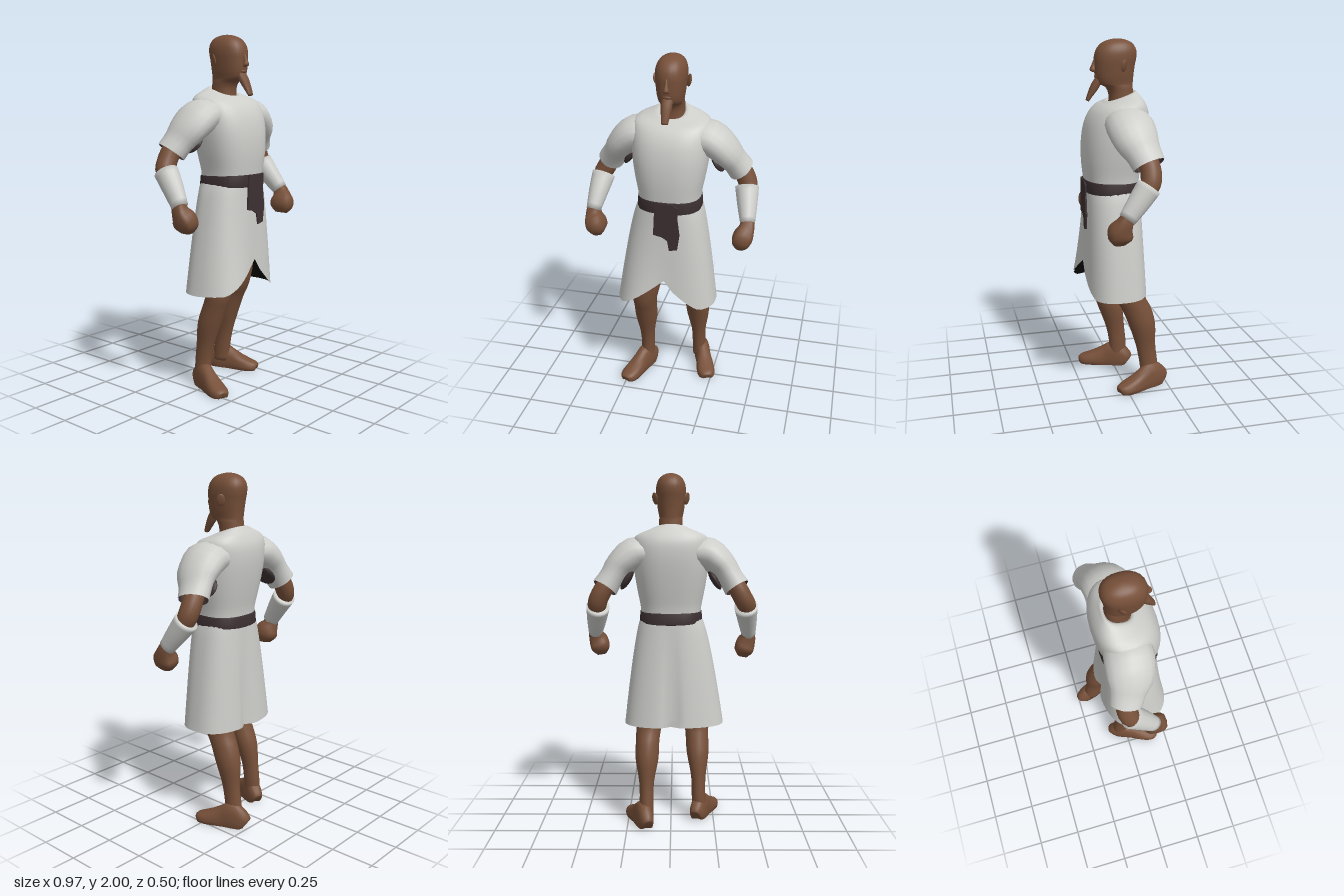
import * as THREE from 'three';

const mat = (name, color) => Object.assign(new THREE.MeshStandardMaterial({ color }), { name });
const V = (x, y, z) => new THREE.Vector3(x, y, z);
const spow = (v, p) => Math.sign(v) * Math.abs(v) ** (2 / p);

// Catmull-Rom smoothing of a table of cross-section rows
function smooth(rows, k = 3) {
  const out = [], at = i => rows[Math.min(Math.max(i, 0), rows.length - 1)];
  for (let i = 0; i < rows.length - 1; i++) for (let s = 0; s < k; s++) {
    const t = s / k, [a, b, c, d] = [at(i - 1), at(i), at(i + 1), at(i + 2)];
    out.push(b.map((q, j) => q + 0.5 * t * (c[j] - a[j] + t * (2 * a[j] - 5 * q + 4 * c[j] - d[j]
      + t * (3 * (q - c[j]) + d[j] - a[j])))));
  }
  out.push(rows[rows.length - 1]);
  return out;
}

// Skin a list of closed rings, optionally capped or turned inside out
function loft(rings, { cap = true, flip = false } = {}) {
  const n = rings[0].length, pos = [], idx = [];
  const tri = (a, b, c) => (flip ? idx.push(a, c, b) : idx.push(a, b, c));
  rings.forEach(r => r.forEach(p => pos.push(p.x, p.y, p.z)));
  for (let i = 0; i < rings.length - 1; i++) for (let j = 0; j < n; j++) {
    const a = i * n + j, b = i * n + (j + 1) % n;
    tri(a, b, b + n);
    tri(a, b + n, a + n);
  }
  if (cap) [0, rings.length - 1].forEach((i, end) => {
    const mid = rings[i].reduce((s, p) => s.add(p), V(0, 0, 0)).divideScalar(n);
    const m = pos.length / 3;
    pos.push(mid.x, mid.y, mid.z);
    for (let j = 0; j < n; j++) {
      const a = i * n + j, b = i * n + (j + 1) % n;
      end ? tri(a, b, m) : tri(b, a, m);
    }
  });
  const g = new THREE.BufferGeometry();
  g.setAttribute('position', new THREE.Float32BufferAttribute(pos, 3));
  g.setIndex(idx);
  g.computeVertexNormals();
  return g;
}

const around = (n, f) => Array.from({ length: n }, (_, j) => f(Math.cos(j / n * 2 * Math.PI), Math.sin(j / n * 2 * Math.PI)));

// Level sections: [y, x, z, rx, rz]
const stack = (rows, n = 18, p = 2) => loft(smooth(rows).map(([y, x, z, rx, rz]) =>
  around(n, (c, s) => V(x + rx * spow(c, p), y, z - rz * spow(s, p)))));

// Level sections with separate front and back depth: [y, rx, zFront, zBack, tilt]
const bodyRings = (rows, k) => smooth(rows, k).map(([y, rx, zf, zb, tilt]) => around(32, (c, s) => {
  const z = (zf + zb) / 2 - (zf - zb) / 2 * spow(s, 2.5);
  return V(rx * spow(c, 2.5), y - tilt * z, z);
}));

// Sections square to a path: [x, y, z, ru, rv]; ref steers the v axis
function tubeRings(rows, ref = V(0, 0, 1), p = 2, n = 16) {
  const pts = smooth(rows), c = pts.map(r => V(r[0], r[1], r[2]));
  return pts.map((r, i) => {
    const t = c[Math.min(i + 1, c.length - 1)].clone().sub(c[Math.max(i - 1, 0)]).normalize();
    const v = ref.clone().addScaledVector(t, -ref.dot(t)).normalize();
    const u = t.clone().cross(v);
    return around(n, (a, b) => c[i].clone().addScaledVector(u, r[3] * spow(a, p)).addScaledVector(v, -r[4] * spow(b, p)));
  });
}

export function createModel() {
  const skin = mat('brown skin', 0x775039), cloth = mat('pale cloth', 0xcdcdca);
  const sash = mat('dark sash', 0x3c3032), dark = mat('black lining', 0x060606);
  const model = new THREE.Group();
  model.name = 'robedMan';
  const add = (name, geo, m) => {
    const mesh = new THREE.Mesh(geo, m);
    mesh.name = name;
    model.add(mesh);
    return mesh;
  };
  const blob = (name, m, p, s) => {
    const b = add(name, new THREE.SphereGeometry(1, 14, 10), m);
    b.position.set(...p);
    b.scale.set(...s);
    return b;
  };

  // Head and neck
  add('head', stack([
    [1.62, 0, -0.01, 0.07, 0.072], [1.70, 0, -0.01, 0.066, 0.068], [1.742, 0, 0.002, 0.066, 0.077],
    [1.76, 0, 0.022, 0.066, 0.098], [1.80, 0, 0.028, 0.074, 0.107], [1.86, 0, 0.026, 0.081, 0.113],
    [1.90, 0, 0.022, 0.084, 0.117], [1.94, 0, 0.017, 0.08, 0.111], [1.975, 0, 0.013, 0.062, 0.086],
    [1.994, 0, 0.01, 0.032, 0.045], [2.0, 0, 0.01, 0.004, 0.005]], 24, 2.25), skin);
  add('nose', stack([[1.822, 0, 0.14, 0.01, 0.008], [1.834, 0, 0.148, 0.018, 0.016],
    [1.86, 0, 0.143, 0.01, 0.012], [1.895, 0, 0.132, 0.007, 0.008]], 10), skin);
  blob('lips', skin, [0, 1.798, 0.13], [0.024, 0.009, 0.009]);
  add('beard', loft(tubeRings([[0, 1.785, 0.112, 0.032, 0.02], [0, 1.745, 0.137, 0.029, 0.022],
    [0, 1.70, 0.163, 0.023, 0.015], [0, 1.668, 0.18, 0.018, 0.009]], V(0, 0, 1), 2.6, 10)), skin);
  for (const s of [1, -1]) {
    const ear = blob('ear', skin, [s * 0.088, 1.86, -0.008], [0.008, 0.034, 0.024]);
    ear.rotation.y = s * 0.7;
    ear.rotation.z = -s * 0.2;
  }

  // Shirt body, its collar turned in against the neck
  add('shirt', loft(bodyRings([
    [1.17, 0.17, 0.195, -0.1, 0], [1.25, 0.175, 0.204, -0.105, 0], [1.35, 0.194, 0.212, -0.125, 0],
    [1.45, 0.209, 0.209, -0.143, 0], [1.54, 0.215, 0.191, -0.153, 0], [1.61, 0.214, 0.158, -0.15, 0.03],
    [1.652, 0.198, 0.12, -0.13, 0.1], [1.678, 0.125, 0.09, -0.103, 0.25], [1.69, 0.076, 0.07, -0.087, 0.35],
    [1.668, 0.058, 0.05, -0.07, 0.35]]), { cap: false }), cloth);

  // Skirt with a front opening, wider and fuller on the right, and a fold at the back
  const skirtRings = inset => Array.from({ length: 15 }, (_, i) => around(56, (c, s) => {
    const t = i / 14, f = -s, w = t ** 0.7;
    const x = (0.17 - inset + (0.118 - 0.018 * c) * w) * spow(c, 2.5);
    const depth = f > 0 ? 0.16 + 0.015 * t + 0.11 * t * t * Math.max(0, -c) * Math.sqrt(f) : 0.145 + 0.035 * t;
    const z = 0.04 + (depth - inset) * spow(f, 2.5) + (f < 0 ? 0.036 * t * Math.exp(-((x / 0.035) ** 2)) : 0);
    const rise = f > 0 ? Math.max(0, 1 - Math.abs(x) / (x < 0 ? 0.25 : 0.2)) ** 1.2 : 0;
    return V(x, 1.2 + (0.57 + 0.165 * rise + (f > 0 && x < 0 ? 0.02 * f : 0) - 1.2) * t, z);
  })).reverse();
  add('skirt', loft(skirtRings(0), { cap: false }), cloth);
  add('skirtLining', loft(skirtRings(0.006), { cap: false, flip: true }), dark);

  // Belt and hanging sash
  add('belt', loft(bodyRings([[1.158, 0.174, 0.198, -0.106, -0.02], [1.164, 0.181, 0.207, -0.113, -0.02],
    [1.222, 0.177, 0.208, -0.109, -0.04], [1.228, 0.17, 0.2, -0.102, -0.04]], 1), { cap: false }), sash);
  const flap = new THREE.Shape([[-0.05, 1.235], [-0.06, 1.04], [-0.01, 1.03], [0.02, 1.01], [0.03, 0.95],
    [0.075, 0.96], [0.088, 1.05], [0.075, 1.15], [0.08, 1.21], [0.05, 1.225]].map(p => new THREE.Vector2(...p)));
  add('hangingSash', new THREE.ExtrudeGeometry(flap, { depth: 0.009, bevelEnabled: false }), sash)
    .position.z = 0.204;

  // Arms: sleeve, skin, bracer and fist, mirrored with a slight pose change
  for (const s of [1, -1]) {
    const side = s > 0 ? 'left' : 'right', drop = s > 0 ? 0 : 0.012;
    const pose = rows => rows.map(([x, y, z, a, b]) =>
      [s * (x + (y < 1.3 ? drop : 0)), y - (y < 1.12 ? drop : 0), z - (y < 1.08 ? drop : 0), a, b]);
    const sleeve = [[0.12, 1.56, -0.005, 0.08, 0.12], [0.21, 1.553, -0.006, 0.094, 0.132],
      [0.288, 1.49, -0.022, 0.082, 0.125], [0.334, 1.425, -0.048, 0.07, 0.1], [0.373, 1.365, -0.07, 0.075, 0.09]];
    add(side + 'Sleeve', loft(tubeRings(pose(sleeve)), { cap: false }), cloth);
    add(side + 'SleeveLining', loft(tubeRings(pose(sleeve.slice(2).map(r =>
      [r[0], r[1], r[2], r[3] - 0.005, r[4] - 0.005]))), { cap: false, flip: true }), sash);
    blob(side + 'Armpit', sash, [s * 0.247, 1.412, -0.04], [0.022, 0.066, 0.078]).rotation.z = s * 0.55;
    add(side + 'Arm', loft(tubeRings(pose([[0.29, 1.48, -0.04, 0.05, 0.06], [0.365, 1.38, -0.068, 0.053, 0.056],
      [0.405, 1.31, -0.072, 0.054, 0.056], [0.42, 1.25, -0.05, 0.052, 0.052], [0.438, 1.1, 0.065, 0.034, 0.034]]))), skin);
    add(side + 'Bracer', loft(tubeRings(pose([[0.412, 1.262, -0.058, 0.067, 0.068], [0.426, 1.18, 0.004, 0.056, 0.06],
      [0.44, 1.1, 0.067, 0.041, 0.048]]))), cloth);
    add(side + 'Fist', loft(tubeRings(pose([[0.442, 1.115, 0.06, 0.034, 0.034], [0.438, 1.075, 0.08, 0.044, 0.045],
      [0.424, 1.035, 0.095, 0.056, 0.066], [0.414, 0.995, 0.1, 0.052, 0.062], [0.408, 0.962, 0.1, 0.026, 0.034]]),
    V(0, 0, 1), 3, 12)), skin);
  }

  // Legs in a striding stance
  add('leftLeg', stack([[0.05, 0.143, -0.155, 0.042, 0.055], [0.14, 0.14, -0.143, 0.04, 0.054],
    [0.25, 0.14, -0.125, 0.043, 0.058], [0.38, 0.138, -0.103, 0.066, 0.078], [0.48, 0.135, -0.07, 0.068, 0.086],
    [0.56, 0.128, -0.03, 0.074, 0.088], [0.7, 0.117, 0, 0.09, 0.092], [0.95, 0.085, 0.03, 0.08, 0.09]]), skin);
  add('rightLeg', stack([[0.05, -0.168, -0.03, 0.042, 0.052], [0.14, -0.163, -0.03, 0.04, 0.052],
    [0.25, -0.162, -0.015, 0.043, 0.056], [0.38, -0.158, 0.015, 0.064, 0.072], [0.48, -0.154, 0.05, 0.067, 0.073],
    [0.56, -0.15, 0.075, 0.073, 0.076], [0.7, -0.135, 0.07, 0.09, 0.09], [0.95, -0.09, 0.05, 0.08, 0.09]]), skin);

  // Flat-soled feet: sections from heel to toe [distance, half width, height]
  const foot = [[0, 0.028, 0.065], [0.02, 0.042, 0.1], [0.08, 0.047, 0.145], [0.14, 0.046, 0.118],
    [0.2, 0.053, 0.086], [0.26, 0.055, 0.062], [0.3, 0.044, 0.048], [0.316, 0.026, 0.034]];
  for (const [name, x, z, turn, size] of [['leftFoot', 0.132, -0.232, 0.34, 0.96], ['rightFoot', -0.146, -0.088, -0.36, 0.95]]) {
    const rings = tubeRings(foot.map(([d, w, h]) =>
      [x + Math.sin(turn) * d * size, h * 0.3, z + Math.cos(turn) * d * size, w, h * 0.7]), V(0, 1, 0), 2.4);
    rings.flat().forEach(p => { p.y = Math.max(p.y, 0); });
    add(name, loft(rings), skin);
  }
  return model;
}
